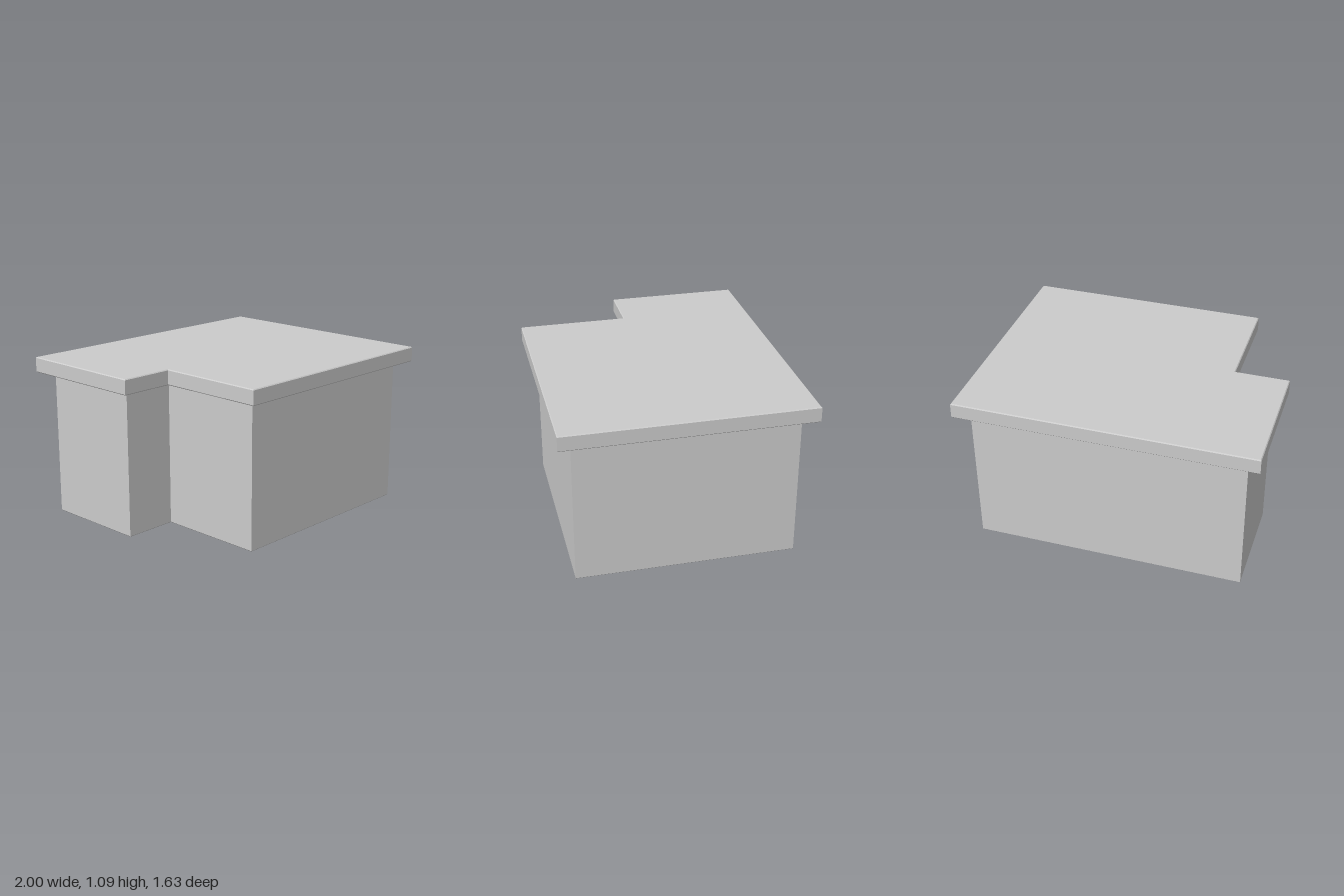
import * as THREE from 'three';

const BEVEL = 0.006;

// Slab with an L-shaped plan: a rectangle whose front right corner is cut away.
function notchedSlab(name, halfX, halfZ, notchX, notchZ, bottom, top, material) {
  const plan = new THREE.Shape([
    [notchX, -halfZ], [halfX, -halfZ], [halfX, halfZ],
    [-halfX, halfZ], [-halfX, -notchZ], [notchX, -notchZ],
  ].map(([x, y]) => new THREE.Vector2(x, y)));
  const geometry = new THREE.ExtrudeGeometry(plan, {
    depth: top - bottom - 2 * BEVEL,
    bevelThickness: BEVEL,
    bevelSize: BEVEL,
    bevelOffset: -BEVEL,
    bevelSegments: 1,
  });
  geometry.rotateX(-Math.PI / 2); // plan y becomes -z, depth becomes height
  geometry.translate(0, bottom + BEVEL, 0);
  const mesh = new THREE.Mesh(geometry, material);
  mesh.name = name;
  return mesh;
}

export function createModel() {
  const material = new THREE.MeshStandardMaterial({ color: 0xcccccc });
  const group = new THREE.Group();
  group.name = 'cornerCabinet';

  // Cabinet body, set back evenly under the overhanging worktop
  group.add(notchedSlab('body', 0.91, 0.727, -0.546, -0.01, 0, 0.988, material));
  group.add(notchedSlab('worktop', 1, 0.817, -0.636, 0.081, 0.988, 1.092, material));
  return group;
}
